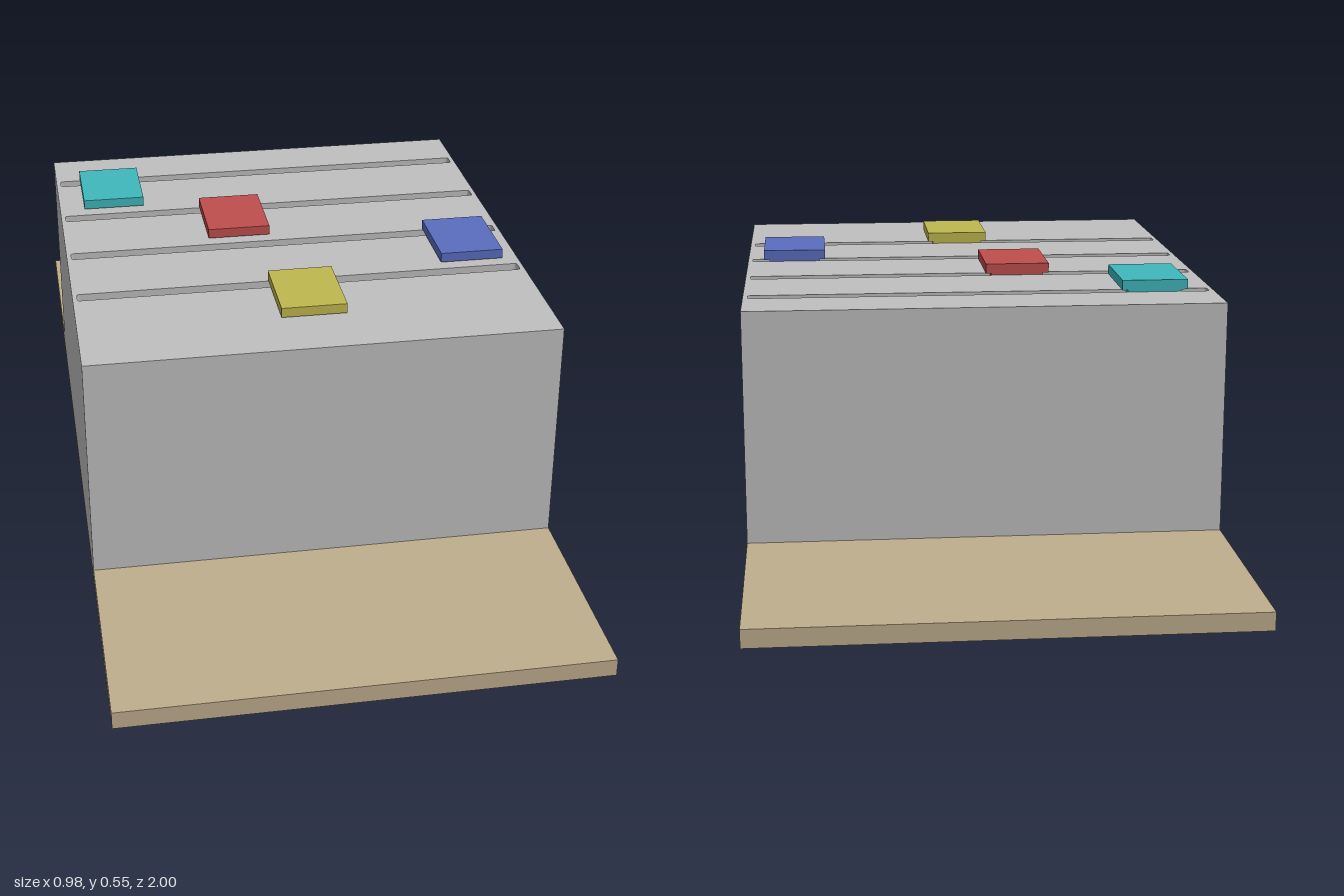
import * as THREE from 'three';

export function createModel() {
  const model = new THREE.Group();
  model.name = 'sliderBox';

  const material = (name, color) => {
    const m = new THREE.MeshStandardMaterial({ color });
    m.name = name;
    return m;
  };
  const grey = material('housing grey', 0xc0c0c0);
  const tan = material('base tan', 0xc0ae8e);

  const addBox = (parent, name, mat, x0, x1, y0, y1, z0, z1) => {
    const mesh = new THREE.Mesh(new THREE.BoxGeometry(x1 - x0, y1 - y0, z1 - z0), mat);
    mesh.position.set((x0 + x1) / 2, (y0 + y1) / 2, (z0 + z1) / 2);
    mesh.name = name;
    parent.add(mesh);
  };

  // Base board
  addBox(model, 'baseBoard', tan, -0.49, 0.49, 0, 0.037, -1, 1);

  // Housing: solid lower block below a slotted top slab
  const top = 0.52, slotDepth = 0.05, halfX = 0.49, halfZ = 0.535;
  addBox(model, 'housing', grey, -halfX, halfX, 0.037, top - slotDepth, -halfZ, halfZ);

  const rounded = (path, x, y, w, h, r) => {
    path.moveTo(x + r, y);
    path.lineTo(x + w - r, y);
    path.quadraticCurveTo(x + w, y, x + w, y + r);
    path.lineTo(x + w, y + h - r);
    path.quadraticCurveTo(x + w, y + h, x + w - r, y + h);
    path.lineTo(x + r, y + h);
    path.quadraticCurveTo(x, y + h, x, y + h - r);
    path.lineTo(x, y + r);
    path.quadraticCurveTo(x, y, x + r, y);
    return path;
  };
  const outline = new THREE.Shape([
    new THREE.Vector2(-halfX, -halfZ), new THREE.Vector2(halfX, -halfZ),
    new THREE.Vector2(halfX, halfZ), new THREE.Vector2(-halfX, halfZ),
  ]);

  // Sliders: centre x and slot centre z, from back to front
  const sliders = [
    ['teal', 0x40b8be, -0.365, -0.393],
    ['red', 0xc04e4e, -0.1, -0.184],
    ['blue', 0x5a6dc0, 0.385, 0.024],
    ['yellow', 0xc0b84e, -0.002, 0.231],
  ];
  const slotWidth = 0.03;
  for (const [, , , z] of sliders) {
    outline.holes.push(rounded(new THREE.Path(), -0.48, -z - slotWidth / 2, 0.96, slotWidth, 0.006));
  }
  const slabGeometry = new THREE.ExtrudeGeometry(outline, {
    depth: slotDepth, bevelEnabled: false, curveSegments: 4,
  });
  slabGeometry.rotateX(-Math.PI / 2);
  const slab = new THREE.Mesh(slabGeometry, grey);
  slab.position.y = top - slotDepth;
  slab.name = 'slottedTop';
  model.add(slab);

  // Each slider has a stem in its slot and a cap reaching forward
  for (const [name, color, x, z] of sliders) {
    const mat = material(`${name} slider`, color);
    const slider = new THREE.Group();
    slider.name = `${name}Slider`;
    addBox(slider, 'stem', mat, x - 0.057, x + 0.057, top - 0.045, 0.524, z - 0.013, z + 0.013);
    addBox(slider, 'cap', mat, x - 0.069, x + 0.069, 0.524, 0.545, z - 0.015, z + 0.168);
    model.add(slider);
  }
  return model;
}
